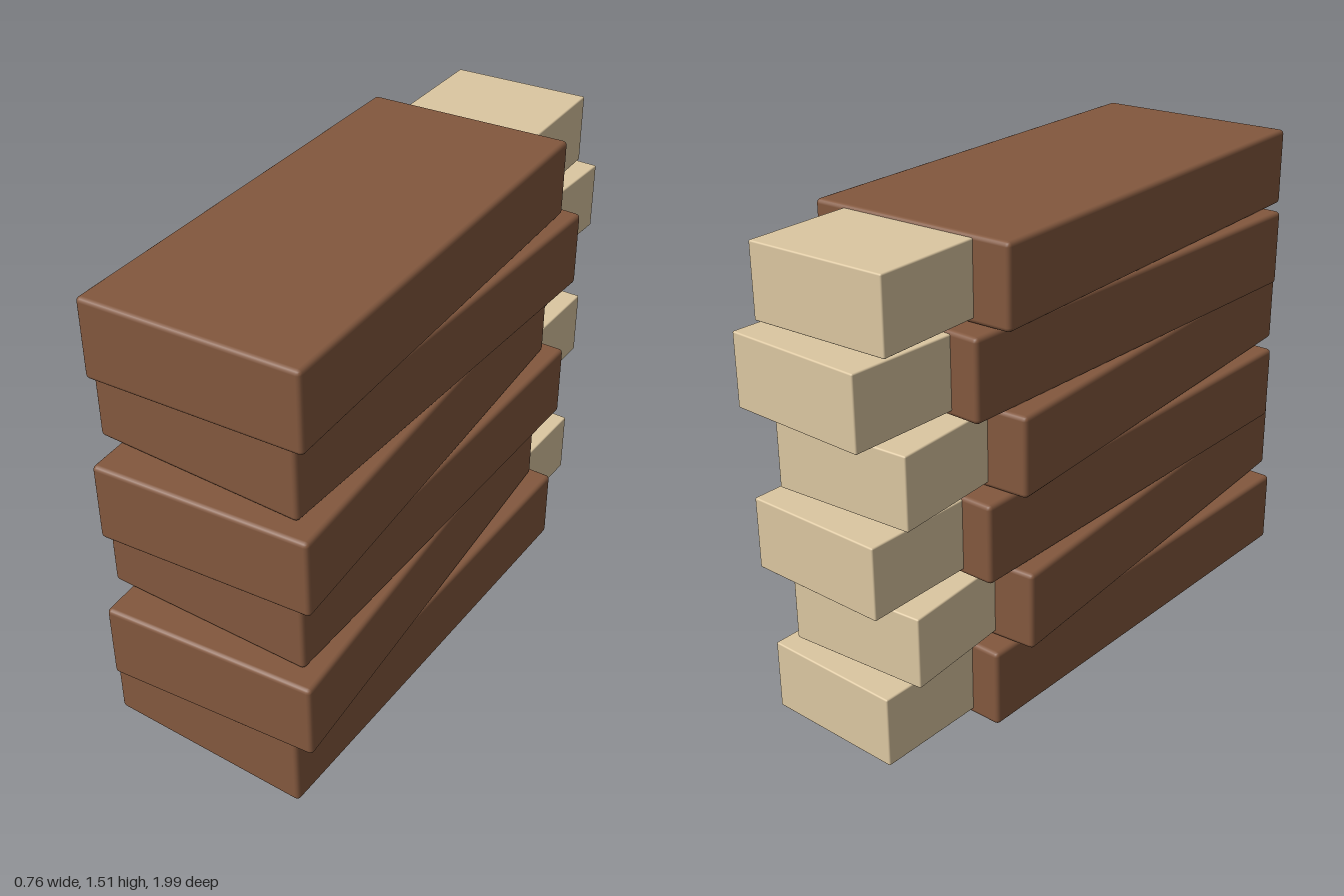
import * as THREE from 'three';
import { RoundedBoxGeometry } from 'three/addons/geometries/RoundedBoxGeometry.js';

const LAYER = 0.2515; // vertical step between blocks

// Per block, bottom to top: [turn about y, z of the block's centre]
const LAYERS = [
  [-0.038, 0.18],
  [0.053, 0.23],
  [-0.027, 0.142],
  [0.047, 0.21],
  [-0.046, 0.12],
  [0.019, 0.177],
];

export function createModel() {
  const brown = new THREE.MeshStandardMaterial({ color: 0x83583e });
  brown.name = 'brown';
  const cream = new THREE.MeshStandardMaterial({ color: 0xdcc7a1 });
  cream.name = 'cream';

  const sleeveGeometry = new RoundedBoxGeometry(0.685, 0.25, 1.5, 2, 0.014);
  const coreGeometry = new RoundedBoxGeometry(0.46, 0.224, 1.4, 2, 0.005);

  const model = new THREE.Group();
  model.name = 'blockStack';

  LAYERS.forEach(([turn, z], i) => {
    const block = new THREE.Group();
    block.name = `block${i + 1}`;
    block.position.set(-0.002, 0.126 + i * LAYER, z);

    // Softly bevelled outer block
    const sleeve = new THREE.Mesh(sleeveGeometry, brown);
    sleeve.name = 'sleeve';
    sleeve.rotation.y = turn;

    // Narrower core sticking out at the back, turned about its own centre
    const core = new THREE.Mesh(coreGeometry, cream);
    core.name = 'core';
    core.position.set(0, 0.004, -0.406);
    core.rotation.y = turn;

    block.add(sleeve, core);
    model.add(block);
  });

  return model;
}
